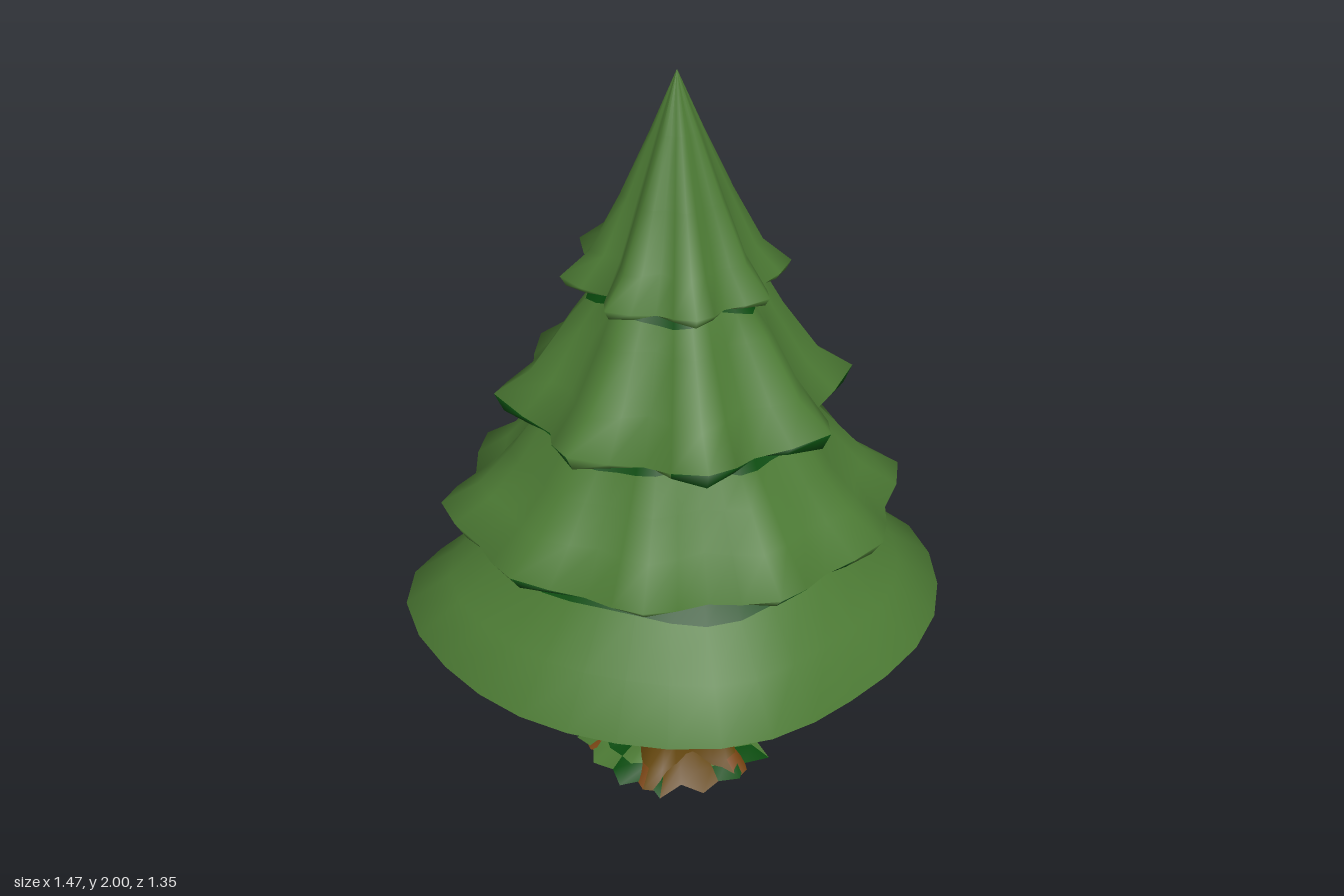
import * as THREE from 'three';

const mat = (name, color) => {
  const m = new THREE.MeshStandardMaterial({ color, side: THREE.DoubleSide });
  m.name = name;
  return m;
};

// Closed ring of n points; radius and height are functions of angle and index
const makeRing = (n, radius, height, z) => Array.from({ length: n }, (_, i) => {
  const a = i / n * Math.PI * 2, r = radius(a, i);
  return [r * Math.cos(a), height(a, i), r * Math.sin(a) + z];
});

// Skin between rings; pick(row, column) gives the material index
function loft(name, rings, mats, pick) {
  const n = rings[0].length;
  const faces = mats.map(() => []);
  for (let r = 0; r < rings.length - 1; r++) {
    for (let i = 0; i < n; i++) {
      const j = (i + 1) % n, b = r * n, t = b + n;
      faces[pick(r, i)].push(b + i, t + i, b + j, b + j, t + i, t + j);
    }
  }
  const g = new THREE.BufferGeometry();
  g.setAttribute('position', new THREE.Float32BufferAttribute(rings.flat(2), 3));
  g.setIndex(faces.flat());
  let start = 0;
  faces.forEach((f, k) => {
    g.addGroup(start, f.length, k);
    start += f.length;
  });
  g.computeVertexNormals();
  const mesh = new THREE.Mesh(g, mats);
  mesh.name = name;
  return mesh;
}

// Rim: mean radius, oval stretch, lobe count and depth. Profile: [radius, height] upwards.
// dark is the first profile row in shade, inner the radius where the underside ends,
// lip the share of the drooping edge that is dark.
const TIERS = [
  { name: 'bottomTier', R: 0.682, oval: 0.03, lobes: 4, depth: 0.022, low: 0.5, lift: 0.05, inner: 0.1, dark: 2, lip: -2,
    profile: [[0.575, 0.63], [0.465, 0.745], [0.39, 0.83], [0.28, 0.97]] },
  { name: 'lowerMiddleTier', R: 0.55, oval: 0.04, lobes: 10, depth: 0.028, low: 0.81, lift: 0.055, inner: 0.3, dark: 3, lip: -0.2,
    profile: [[0.465, 0.92], [0.395, 1.01], [0.34, 1.09], [0.25, 1.23]] },
  { name: 'upperMiddleTier', R: 0.412, oval: 0.01, lobes: 8, depth: 0.045, low: 1.13, lift: 0.05, inner: 0.22, dark: 3, lip: 0.5,
    profile: [[0.335, 1.24], [0.25, 1.38], [0.21, 1.445], [0.13, 1.58]] },
  { name: 'topTier', R: 0.25, oval: 0, lobes: 8, depth: 0.04, low: 1.47, lift: 0.025, inner: 0.14, dark: 9, lip: -2,
    profile: [[0.19, 1.56], [0.127, 1.7], [0.06, 1.86], [0.001, 2]] },
];

function makeTier(t, leaf, deep, wood) {
  const n = t.lobes === 10 ? 40 : 32;
  const swing = t.oval + t.depth;
  const wave = a => t.oval * Math.cos(2 * a) + t.depth * Math.cos(t.lobes * a)
    + 0.008 * Math.sin(3 * a + t.R * 9) + 0.008 * Math.sin(7 * a + t.low * 8);
  // Ripples fade and the shade line wavers towards the top
  const ring = (r, y, waver = 0) => makeRing(n, a => r + (r / t.R) ** 1.7 * wave(a),
    a => y + waver * Math.sin(5 * a + t.low * 7), 0.012);
  const rim = makeRing(n, a => t.R + wave(a),
    a => t.low + t.lift * THREE.MathUtils.clamp(0.5 + wave(a) / swing / 2, 0, 1), 0.01);
  const edge = ring(t.R * 0.955, t.low);
  const g = new THREE.Group();
  g.name = t.name;
  // Needle skirt: drooping lip, slope and a dark band tucked below the next tier
  const slope = t.profile.map(([r, y], k) => ring(r, y, k === t.dark - 1 ? 0.014 : 0));
  g.add(loft(t.name + 'Skirt', [edge, rim, ...slope], [leaf, deep],
    (row, i) => (row > t.dark || (row === 0 && Math.sin(i * 0.8) < t.lip) ? 1 : 0)));
  // Underside, with one bare twig patch on the top tier
  g.add(loft(t.name + 'Underside', [ring(t.inner, t.low + 0.03), edge], [deep, wood],
    (row, i) => (t.name === 'topTier' && i >= 3 && i <= 5 ? 1 : 0)));
  return g;
}

export function createModel() {
  const leaf = mat('leafGreen', 0x4c7a34);
  const deep = mat('deepGreen', 0x0a4c0e);
  const bark = mat('bark', 0x65470c);
  const root = mat('rootBrown', 0x7a4512);
  const tree = new THREE.Group();
  tree.name = 'pineTree';

  TIERS.forEach(t => tree.add(makeTier(t, leaf, deep, root)));

  // Fluted trunk flaring into six roots
  const trunk = [[0.228, 0], [0.198, 0.04], [0.165, 0.1], [0.14, 0.3], [0.125, 0.5], [0.12, 0.6]]
    .map(([r, y]) => makeRing(36, a => r + (r - 0.09) ** 2 * 2.4 * Math.cos(6 * a + 0.4), () => y, 0.02));
  tree.add(loft('trunk', trunk, [bark, root], (row, i) => (row === 0 && i % 12 < 6 ? 1 : 0)));

  // Ragged ring of fallen foliage in broad clumps around the roots
  const foliage = [[0.272, 0.002], [0.225, 0.034], [0.165, 0.055]].map(([r, y]) =>
    makeRing(30,
      (a, i) => r + (r - 0.165) * 0.2 * (i % 2 ? 1 : -1) + 0.01 * Math.sin(i * 2.3),
      (a, i) => y * (1 + 0.25 * Math.sin(i * 1.9)), 0.01));
  tree.add(loft('groundFoliage', foliage, [leaf, deep, bark], (row, i) => {
    const clump = Math.floor(i / 3);
    if (clump % 5 === 2) return 2;
    return (clump + row) % 2;
  }));
  return tree;
}
